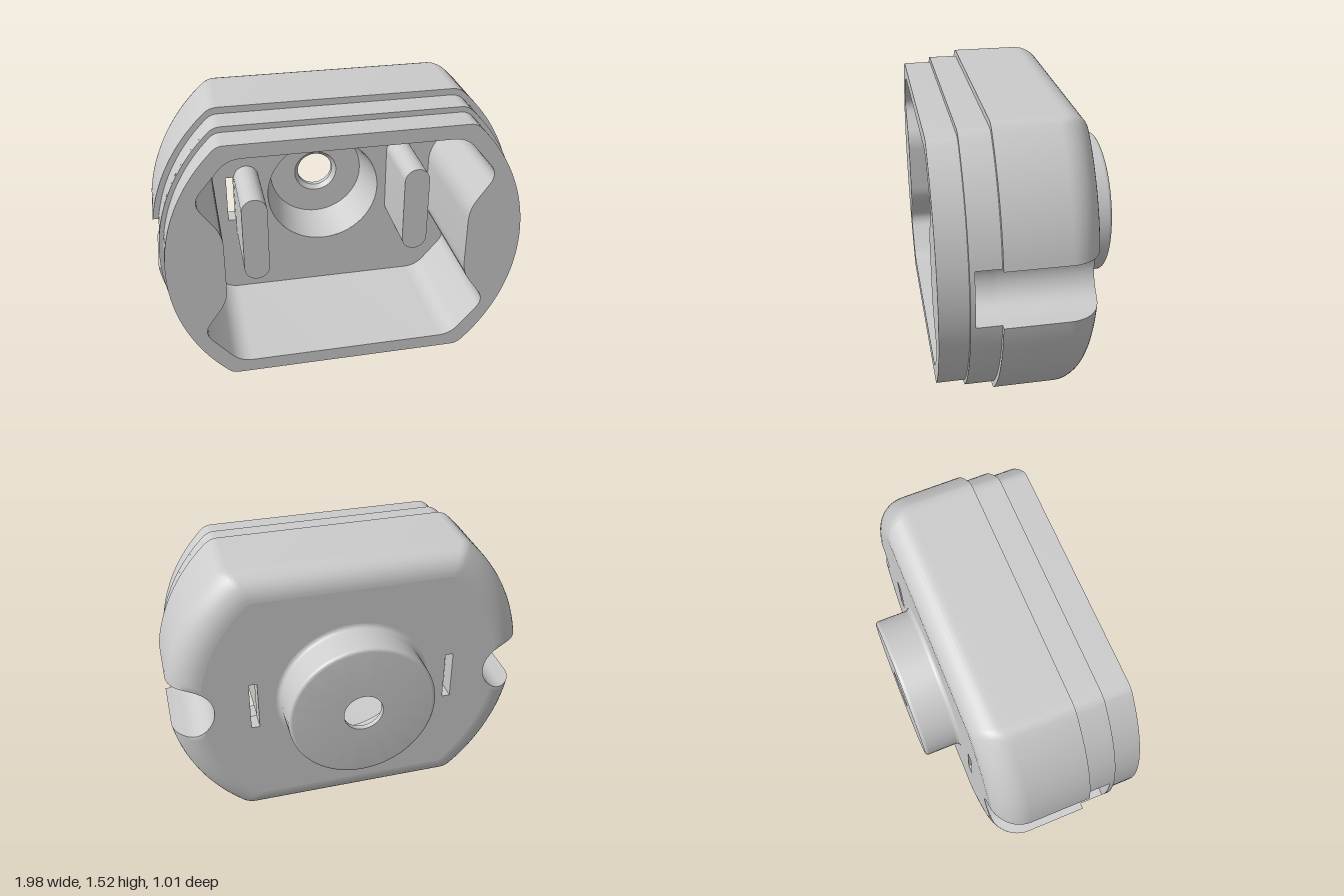
import * as THREE from 'three';
import { toCreasedNormals } from 'three/addons/utils/BufferGeometryUtils.js';

const V = (x, y) => new THREE.Vector2(x, y);
const NOTCH_X = 0.915, NOTCH_R = 0.155;

// Repeat a first-quadrant run of points (from the x axis up) in all four quadrants
function mirror4(q) {
  const back = q.slice(1).reverse();
  return [
    ...q,
    ...back.map(p => V(-p.x, p.y)), ...(q[0].y === 0 ? [] : [V(-q[0].x, q[0].y)]),
    ...q.map(p => V(-p.x, -p.y)),
    ...back.map(p => V(p.x, -p.y)), ...(q[0].y === 0 ? [] : [V(q[0].x, -q[0].y)]),
  ];
}

// Circle of radius R cut flat at y = +-h, corners rounded by f, side notches optional
function outline(R, h, f, notched) {
  const q = [];
  let start = 0;
  if (notched) {
    let x = Math.sqrt(R * R - NOTCH_R * NOTCH_R), y = NOTCH_R, end = Math.PI / 2;
    if (x < NOTCH_X) {
      x = (R * R + NOTCH_X * NOTCH_X - NOTCH_R * NOTCH_R) / (2 * NOTCH_X);
      y = Math.sqrt(R * R - x * x);
      end = Math.atan2(y, x - NOTCH_X);
    }
    for (let i = 0; i <= 12; i++) {
      const a = Math.PI + (end - Math.PI) * i / 12;
      q.push(V(NOTCH_X + NOTCH_R * Math.cos(a), i ? NOTCH_R * Math.sin(a) : 0));
    }
    if (x > NOTCH_X + 1e-4 && end === Math.PI / 2) q.push(V(x, y));
    else q.push(V(x + 1e-4, y + 1e-4));
    start = Math.atan2(y, x);
  }
  const cx = Math.sqrt((R - f) ** 2 - (h - f) ** 2), cy = h - f;
  const join = Math.atan2(cy, cx);
  for (let i = notched ? 1 : 0; i <= 20; i++) {
    const a = start + (join - start) * i / 20;
    q.push(V(R * Math.cos(a), i || notched ? R * Math.sin(a) : 0));
  }
  for (let i = 1; i <= 8; i++) {
    const a = join + (Math.PI / 2 - join) * i / 8;
    q.push(V(cx + f * Math.cos(a), cy + f * Math.sin(a)));
  }
  return mirror4(q);
}

// Polygon with every corner softened by a curve
function roundCorners(pts, cut) {
  return pts.flatMap((p, i) => {
    const to = o => p.clone().add(o.clone().sub(p).setLength(cut));
    const a = to(pts[(i + pts.length - 1) % pts.length]), b = to(pts[(i + 1) % pts.length]);
    return new THREE.QuadraticBezierCurve(a, p, b).getPoints(8);
  });
}

const circle = r => new THREE.Path().absarc(0, 0, r, 0, Math.PI * 2).getPoints(64).slice(0, -1);

// Skin through rings { pts, z } running from front to back; inward turns it inside out
function wall(rings, inward = false) {
  const n = rings[0].pts.length, pos = [], idx = [];
  for (const { pts, z } of rings) for (const p of pts) pos.push(p.x, p.y, z);
  for (let k = 0; k < rings.length - 1; k++) {
    for (let i = 0; i < n; i++) {
      const j = (i + 1) % n, a = k * n + i, b = k * n + j, c = b + n, d = a + n;
      if (inward) idx.push(a, b, d, b, c, d);
      else idx.push(a, d, b, b, d, c);
    }
  }
  const g = new THREE.BufferGeometry();
  g.setAttribute('position', new THREE.Float32BufferAttribute(pos, 3));
  g.setIndex(idx);
  return toCreasedNormals(g, 0.6);
}

// Flat plate at z with holes, facing front or back (all plates are symmetric in x)
function plate(pts, holes, z, facesBack = false) {
  const s = new THREE.Shape(pts);
  s.holes = holes.map(h => new THREE.Path(h));
  const g = new THREE.ShapeGeometry(s);
  if (facesBack) g.rotateY(Math.PI);
  return g.translate(0, 0, z);
}

export function createModel() {
  const group = new THREE.Group();
  const material = new THREE.MeshStandardMaterial({ color: 0xcccccc });
  const body = new THREE.Group();
  body.name = 'housing';
  body.position.y = 0.76;
  group.add(body);
  const add = (name, ...geos) => {
    const part = new THREE.Group();
    part.name = name;
    for (const g of geos) {
      const m = new THREE.Mesh(g, material);
      m.name = name;
      part.add(m);
    }
    body.add(part);
  };

  const FRONT = 0.505, LEDGE = 0.355, SHOULDER = 0.2, FLOOR = -0.2, BACK = -0.3;
  const cavity = roundCorners(mirror4([V(0.645, 0.2), V(0.785, 0.4), V(0.6, 0.62)]), 0.07);
  const slots = [-1, 1].map(s => [V(-0.0225, -0.142), V(0.0225, -0.142), V(0.0225, 0.142), V(-0.0225, 0.142)]
    .map(p => V(p.x + s * 0.5475, p.y)));

  // Main shell: straight sides, then a rounded edge into the back
  const rings = [{ pts: outline(1, 0.76, 0.1, true), z: SHOULDER }];
  for (let i = 0; i <= 12; i++) {
    const t = i / 12 * Math.PI / 2, z = BACK + 0.17 * (1 - Math.sin(t));
    const d = Math.max(0, -z - 0.17);
    const insetH = 0.13 - Math.sqrt(Math.max(0, 0.13 * 0.13 - d * d));
    rings.push({ pts: outline(1 - 0.17 * (1 - Math.cos(t)), 0.76 - insetH, 0.1 - 0.05 * i / 12, true), z });
  }
  add('shell', wall(rings), plate(rings[0].pts, [cavity], SHOULDER));
  add('backFace', plate(rings[rings.length - 1].pts, [circle(0.42), ...slots], BACK, true));

  // Middle step: notched up to a thin end wall
  const step = outline(0.97, 0.725, 0.09, false), notchedStep = outline(0.97, 0.725, 0.09, true);
  add('middleStep',
    wall([{ pts: notchedStep, z: SHOULDER }, { pts: notchedStep, z: 0.33 }].reverse()),
    wall([{ pts: step, z: LEDGE }, { pts: step, z: 0.33 }]),
    plate(step, [cavity], 0.33, true),
    plate(step, [cavity], LEDGE));

  // Front rim
  const rim = outline(0.947, 0.695, 0.08, false);
  add('frontRim', wall([{ pts: rim, z: FRONT }, { pts: rim, z: LEDGE }]), plate(rim, [cavity], FRONT));

  // Hollow inside with two through slots
  add('cavity',
    wall([{ pts: cavity, z: FRONT }, { pts: cavity, z: FLOOR }], true),
    plate(cavity, [circle(0.33), ...slots], FLOOR));
  add('slots', ...slots.map(s => wall([{ pts: s, z: FLOOR }, { pts: s, z: BACK }], true)));

  // Round boss on the back with a stepped bore
  const profile = [V(0.33, FLOOR), V(0.305, -0.34), V(0.28, -0.45), V(0.13, -0.45), V(0.107, -0.475), V(0.107, -0.505)];
  for (let i = 0; i <= 6; i++) {
    const a = -Math.PI / 2 + i / 6 * Math.PI / 2;
    profile.push(V(0.383 + 0.02 * Math.cos(a), -0.485 + 0.02 * Math.sin(a)));
  }
  for (let i = 0; i <= 6; i++) {
    const a = Math.PI - i / 6 * Math.PI / 2;
    profile.push(V(0.428 + 0.025 * Math.cos(a), -0.325 + 0.025 * Math.sin(a)));
  }
  add('boss', toCreasedNormals(new THREE.LatheGeometry(profile, 64).rotateX(Math.PI / 2), 0.35));

  // Two upright posts, each the other turned half round
  const posts = [-1, 1].map(s => {
    const shape = new THREE.Shape();
    shape.absarc(s * 0.453, s * 0.045 + 0.183, 0.071, 0, Math.PI);
    shape.absarc(s * 0.453, s * 0.045 - 0.183, 0.071, Math.PI, Math.PI * 2);
    const g = new THREE.ExtrudeGeometry(shape, { depth: SHOULDER - FLOOR, bevelEnabled: false, curveSegments: 16 });
    return toCreasedNormals(g.translate(0, 0, FLOOR), 0.6);
  });
  add('posts', ...posts);
  return group;
}
